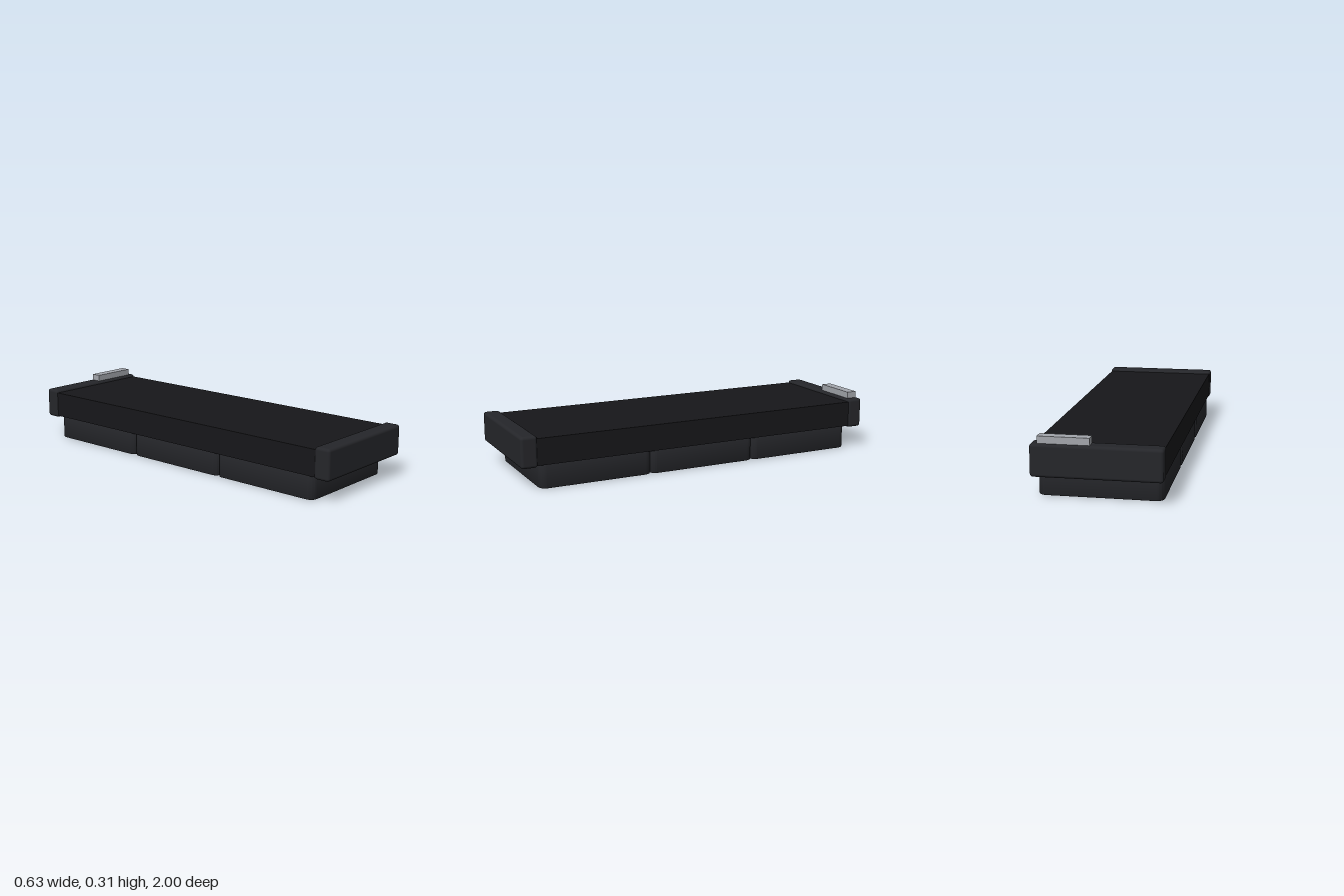
import * as THREE from 'three';
import { RoundedBoxGeometry } from 'three/addons/geometries/RoundedBoxGeometry.js';
import { toCreasedNormals } from 'three/addons/utils/BufferGeometryUtils.js';

const material = (color, side = THREE.FrontSide) => new THREE.MeshStandardMaterial({ color, side });
const frameMat = material(0x25262a);
const coreMat = material(0x17171a);
const hubMat = material(0x1b1b1d);
const bladeMat = material(0x27282b, THREE.DoubleSide);
const plateMat = material(0xa3a6ac);

function add(parent, name, geometry, mat, x = 0, y = 0, z = 0) {
  const mesh = new THREE.Mesh(geometry, mat);
  mesh.name = name;
  mesh.position.set(x, y, z);
  parent.add(mesh);
  return mesh;
}

// Square fan housing with rounded corners and a round opening
function frameGeometry(half, corner, hole, height) {
  const s = new THREE.Shape();
  const c = half - corner;
  s.absarc(c, c, corner, 0, Math.PI / 2);
  s.absarc(-c, c, corner, Math.PI / 2, Math.PI);
  s.absarc(-c, -c, corner, Math.PI, Math.PI * 1.5);
  s.absarc(c, -c, corner, Math.PI * 1.5, Math.PI * 2);
  s.closePath();
  const opening = new THREE.Path();
  opening.absarc(0, 0, hole, 0, Math.PI * 2, true);
  s.holes.push(opening);
  const b = 0.005;
  const g = new THREE.ExtrudeGeometry(s, {
    depth: height - 2 * b, bevelSize: b, bevelThickness: b, bevelOffset: -b, bevelSegments: 2, curveSegments: 32,
  });
  g.rotateX(Math.PI / 2).translate(0, height - b, 0);
  return toCreasedNormals(g, 0.6);
}

// Swept, pitched blade running from the hub to near the opening
function bladeGeometry(inner, outer) {
  const g = new THREE.PlaneGeometry(1, 1, 6, 8);
  const p = g.attributes.position;
  for (let i = 0; i < p.count; i++) {
    const u = p.getX(i);
    const t = p.getY(i) + 0.5;
    const r = inner + (outer - inner) * t;
    const a = 0.65 * t * t + u * (0.72 - 0.1 * t);
    const y = 0.066 + u * 0.06 + 0.012 * (0.25 - u * u);
    p.setXYZ(i, Math.cos(a) * r, y, Math.sin(a) * r);
  }
  g.computeVertexNormals();
  return g;
}

export function createModel() {
  const model = new THREE.Group();
  model.name = 'radiatorWithFans';

  // Finned core and the tank at each end
  add(model, 'radiatorCore', new THREE.BoxGeometry(0.62, 0.137, 1.84), coreMat, 0, 0.1925, 0);
  for (const side of [1, -1]) {
    add(model, side > 0 ? 'frontTank' : 'backTank',
      new RoundedBoxGeometry(0.63, 0.16, 0.086, 4, 0.015), frameMat, 0, 0.195, side * 0.957);
  }

  // Pale block on the back tank
  add(model, 'portBlock', new THREE.BoxGeometry(0.25, 0.04, 0.055), plateMat, 0.155, 0.29, -0.957);

  // Three fans hanging under the core
  const frame = frameGeometry(0.303, 0.04, 0.276, 0.125);
  const blade = bladeGeometry(0.078, 0.266);
  const hub = toCreasedNormals(new THREE.LatheGeometry([
    [0, 0.03], [0.078, 0.03], [0.084, 0.036], [0.084, 0.115], [0, 0.115],
  ].map(([x, y]) => new THREE.Vector2(x, y)), 40), 0.5);
  const blades = 7;
  for (let f = -1; f <= 1; f++) {
    const fan = new THREE.Group();
    fan.name = 'fan';
    fan.position.z = f * 0.6;
    add(fan, 'fanFrame', frame, frameMat);
    add(fan, 'fanHub', hub, hubMat);
    for (let i = 0; i < blades; i++) {
      add(fan, 'fanBlade', blade, bladeMat).rotation.y = (i / blades) * Math.PI * 2;
    }
    model.add(fan);
  }
  return model;
}
